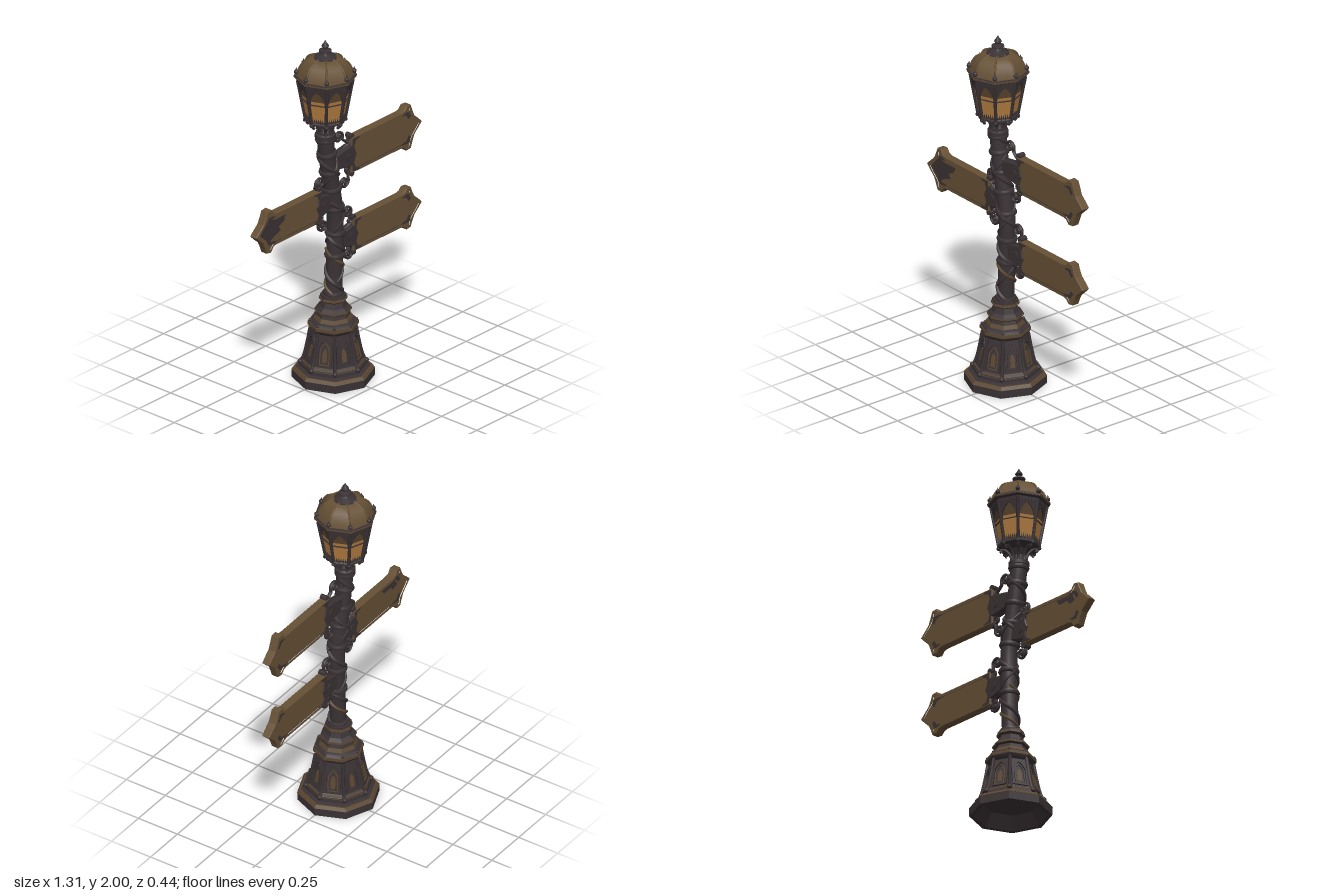
import * as THREE from 'three';
import { toCreasedNormals } from 'three/addons/utils/BufferGeometryUtils.js';

const material = (name, color, side = THREE.FrontSide) => {
  const m = new THREE.MeshStandardMaterial({ color, side });
  m.name = name;
  return m;
};
const iron = material('dark iron', 0x3a3234);
const brass = material('aged brass', 0x665035);
const trim = material('worn brass trim', 0x5a4630);
const glow = material('amber glass', 0xb27c40);
const smoke = material('smoked glass', 0x59432c);

const V = (x, y, z = 0) => new THREE.Vector3(x, y, z);

function add(parent, name, geometry, mat, x = 0, y = 0, z = 0) {
  const mesh = new THREE.Mesh(geometry, mat);
  mesh.name = name;
  mesh.position.set(x, y, z);
  parent.add(mesh);
  return mesh;
}
const lathe = (profile, sides = 8) => toCreasedNormals(
  new THREE.LatheGeometry(profile.map(([r, y]) => new THREE.Vector2(r, y)), sides), sides > 8 ? 0.7 : 0.4);
const tube = (points, radius, segments = 40, sides = 6) =>
  new THREE.TubeGeometry(new THREE.CatmullRomCurve3(points), segments, radius, sides);
const extrude = (shape, depth, bevel = 0) => {
  const g = new THREE.ExtrudeGeometry(shape, { depth: depth - 2 * bevel, bevelEnabled: bevel > 0,
    bevelThickness: bevel, bevelSize: bevel, bevelOffset: -bevel, bevelSegments: 1, curveSegments: 5 });
  return g.translate(0, 0, bevel - depth / 2);
};

// Repeats a part on the eight sides; offset 0 is a corner, 0.5 a face
function around(parent, name, offset, build) {
  for (let k = 0; k < 8; k++) {
    const side = new THREE.Group();
    side.name = name;
    side.rotation.y = (k + offset) * Math.PI / 4;
    parent.add(side);
    build(side, k);
  }
}

// Pointed arch outline standing on y = 0
function archPath(w, h, y = 0, Type = THREE.Shape) {
  const p = new Type();
  p.moveTo(-w, y);
  p.lineTo(w, y);
  p.lineTo(w, h * 0.6);
  p.quadraticCurveTo(w * 0.9, h * 0.85, 0, h);
  p.quadraticCurveTo(-w * 0.9, h * 0.85, -w, h * 0.6);
  p.closePath();
  return p;
}
function archFrame(w, h, t) {
  const shape = archPath(w, h);
  shape.holes.push(archPath(w - t, h - t, t, THREE.Path));
  return shape;
}

function buildBase() {
  const base = new THREE.Group();
  base.name = 'base';
  base.position.x = -0.022;
  add(base, 'pedestal', lathe([[0.001, 0.09], [0.15, 0.07], [0.195, 0], [0.22, 0], [0.22, 0.045], [0.208, 0.06],
    [0.178, 0.068], [0.174, 0.095], [0.158, 0.11], [0.117, 0.285], [0.13, 0.3], [0.135, 0.312], [0.135, 0.322],
    [0.118, 0.338], [0.1, 0.345], [0.086, 0.385], [0.096, 0.395], [0.096, 0.405], [0.075, 0.42], [0.064, 0.45],
    [0.074, 0.46], [0.07, 0.485], [0.001, 0.49]]), iron);
  // Worn bands on the mouldings
  for (const [r0, y0, r1, y1] of [[0.222, 0.045, 0.209, 0.062], [0.176, 0.088, 0.168, 0.104],
    [0.137, 0.309, 0.136, 0.326], [0.105, 0.345, 0.094, 0.366], [0.099, 0.394, 0.098, 0.405],
    [0.077, 0.46, 0.074, 0.474]])
    add(base, 'brassBand', lathe([[r0 - 0.012, y0], [r0, y0], [r1, y1], [r1 - 0.012, y1]]), trim);
  // Arched niches and corner ribs
  around(base, 'niche', 0.5, (side, k) => {
    const frame = add(side, 'nicheArch', extrude(archFrame(0.043, 0.158, 0.009), 0.016), iron, 0, 0.115, 0.145);
    const inner = add(side, 'nicheInnerArch', extrude(archFrame(0.028, 0.125, 0.005), 0.012), k % 2 ? iron : trim, 0, 0.125, 0.143);
    const worn = add(side, 'nicheWear', extrude(archPath(0.013, 0.075), 0.008), trim, 0, 0.14, 0.138);
    for (const m of [frame, inner, worn]) m.rotation.x = -0.21;
  });
  around(base, 'cornerRib', 0, (side) => {
    add(side, 'rib', tube([V(0, 0.08, 0.175), V(0, 0.13, 0.155), V(0, 0.2, 0.139), V(0, 0.295, 0.122)], 0.009, 10), iron);
    add(side, 'ribFoot', new THREE.SphereGeometry(0.014, 8, 6), iron, 0, 0.09, 0.175);
    add(side, 'collarBud', new THREE.SphereGeometry(0.009, 8, 6), iron, 0, 0.333, 0.123);
  });
  return base;
}

// Leaning centre line of the post
const spine = new THREE.CatmullRomCurve3([V(-0.02, 0.47), V(-0.014, 0.6), V(-0.008, 0.8), V(-0.008, 0.95),
  V(-0.035, 1.12), V(-0.06, 1.25), V(-0.082, 1.4), V(-0.085, 1.47)]);

function helix(turns, phase, t0, t1, r, thickness) {
  const points = [];
  for (let i = 0; i <= 60; i++) {
    const t = t0 + (t1 - t0) * i / 60, a = phase + turns * Math.PI * 2 * i / 60;
    points.push(spine.getPointAt(t).add(V(Math.cos(a) * r, 0, Math.sin(a) * r)));
  }
  return tube(points, thickness, 140);
}

function buildPost() {
  const post = new THREE.Group();
  post.name = 'post';
  add(post, 'shaft', new THREE.TubeGeometry(spine, 40, 0.045, 16), iron);
  add(post, 'windingVine', helix(4, 0.5, 0.02, 0.95, 0.045, 0.012), iron);
  add(post, 'thinVine', helix(-2.5, 2, 0.1, 0.9, 0.046, 0.007), iron);
  add(post, 'brassVine', helix(1.2, 2.6, 0.03, 0.28, 0.046, 0.009), trim);
  // Collars that hold the signs
  for (const t of [0.02, 0.24, 0.37, 0.52, 0.64, 0.75, 0.86, 0.95]) {
    const p = spine.getPointAt(t);
    const collar = add(post, 'collar', lathe([[0.04, -0.016], [0.053, -0.012], [0.057, 0], [0.053, 0.012], [0.04, 0.016]], 16), iron, p.x, p.y, 0);
    collar.quaternion.setFromUnitVectors(V(0, 1), spine.getTangentAt(t));
  }
  return post;
}

function buildLantern() {
  const lantern = new THREE.Group();
  lantern.name = 'lantern';
  lantern.position.x = -0.085;
  add(lantern, 'neck', lathe([[0.045, 1.42], [0.056, 1.43], [0.056, 1.45], [0.04, 1.46], [0.03, 1.49], [0.045, 1.525], [0.08, 1.54]], 16), iron);
  add(lantern, 'floor', lathe([[0.001, 1.53], [0.1, 1.53], [0.116, 1.537], [0.116, 1.548], [0.104, 1.558], [0.001, 1.558]]), iron);
  add(lantern, 'lowerGlass', lathe([[0.103, 1.555], [0.126, 1.685]]), glow);
  add(lantern, 'upperGlass', lathe([[0.126, 1.685], [0.142, 1.775]]), smoke);
  add(lantern, 'eave', lathe([[0.13, 1.757], [0.15, 1.757], [0.153, 1.778], [0.166, 1.785], [0.166, 1.8], [0.14, 1.803]]), iron);
  add(lantern, 'eaveBand', lathe([[0.16, 1.789], [0.168, 1.789], [0.168, 1.797], [0.145, 1.805]]), trim);
  // Domed roof and finial
  add(lantern, 'roof', lathe([[0.152, 1.8], [0.147, 1.817], [0.135, 1.845], [0.115, 1.872], [0.088, 1.892], [0.05, 1.903]]), brass);
  add(lantern, 'roofCap', lathe([[0.062, 1.896], [0.06, 1.905], [0.035, 1.915], [0.02, 1.921], [0.016, 1.928], [0.034, 1.936],
    [0.034, 1.942], [0.013, 1.95], [0.012, 1.956], [0.021, 1.966], [0.016, 1.975], [0.006, 1.989], [0.001, 2]], 16), iron);
  around(lantern, 'lanternCorner', 0, (side) => {
    add(side, 'cornerPost', tube([V(0, 1.545, 0.107), V(0, 1.65, 0.126), V(0, 1.77, 0.148)], 0.009, 6), iron);
    add(side, 'roofRib', tube([V(0, 1.805, 0.151), V(0, 1.845, 0.136), V(0, 1.873, 0.115), V(0, 1.903, 0.055)], 0.005, 12), brass);
    add(side, 'eaveKnob', new THREE.SphereGeometry(0.013, 10, 8), iron, 0, 1.817, 0.153);
    add(side, 'eaveSpike', new THREE.ConeGeometry(0.007, 0.022, 6), iron, 0, 1.834, 0.153);
    add(side, 'footDrop', new THREE.SphereGeometry(0.011, 8, 6), iron, 0, 1.534, 0.108);
    add(side, 'supportScroll', tube([V(0, 1.45, 0.045), V(0, 1.475, 0.04), V(0, 1.505, 0.052), V(0, 1.53, 0.083),
      V(0, 1.522, 0.098), V(0, 1.51, 0.088)], 0.008, 20), iron);
  });
  // Arched window tracery with a spiked sill
  around(lantern, 'lanternWindow', 0.5, (side) => {
    const pane = new THREE.Group();
    pane.name = 'windowTracery';
    pane.position.set(0, 1.555, 0.097);
    pane.rotation.x = 0.165;
    side.add(pane);
    const spandrel = new THREE.Shape([[-0.045, 0.11], [0.045, 0.11], [0.055, 0.215], [-0.055, 0.215]].map(p => new THREE.Vector2(...p)));
    const hole = new THREE.Path();
    hole.moveTo(-0.041, 0.113);
    hole.lineTo(0.041, 0.113);
    hole.quadraticCurveTo(0.042, 0.165, 0, 0.198);
    hole.quadraticCurveTo(-0.042, 0.165, -0.041, 0.113);
    spandrel.holes.push(hole);
    add(pane, 'spandrel', extrude(spandrel, 0.012), iron);
    for (let i = -3; i <= 3; i++)
      add(pane, 'sillSpike', new THREE.ConeGeometry(0.006, 0.026 + 0.01 * (Math.abs(i) % 2), 4), iron, i * 0.0115, 0.014, 0.004);
  });
  return lantern;
}

function spiral(cx, cy, r, turns, start, dir) {
  const points = [];
  for (let i = 0; i <= 24; i++) {
    const t = i / 24, a = start + dir * turns * Math.PI * 2 * t;
    points.push(V(cx + Math.cos(a) * r * (1 - 0.8 * t), cy + Math.sin(a) * r * (1 - 0.8 * t)));
  }
  return points;
}

// Arrow outline pointing to +x, inset on all edges
function arrow(x0, hb, hf, inset = 0) {
  const b = hb - inset, f = hf - inset, x = x0 + inset;
  const top = [[x, b], [0.49, b], [0.515, b + 0.006], [0.535 + inset * 0.4, f], [0.568 - inset * 0.4, f - 0.004],
    [0.58 - inset, f - 0.035], [0.597 - inset, 0.055], [0.622 - inset, 0.033]];
  const bottom = top.map(([px, py]) => [px, -py]).reverse();
  return [...top, [0.656 - inset * 1.4, 0], ...bottom].map(p => new THREE.Vector2(...p));
}

function buildSign({ dir, y, x0, hb, hf, poleX, curls, worn }) {
  const sign = new THREE.Group();
  sign.name = dir > 0 ? 'leftSign' : 'rightSign';
  sign.position.y = y;
  // Left and right boards are half turns of each other
  if (dir < 0) sign.rotation.y = Math.PI;
  const frame = new THREE.Shape(arrow(x0, hb, hf));
  frame.holes.push(new THREE.Path(arrow(x0, hb, hf, 0.016)));
  add(sign, 'signFrame', extrude(frame, 0.046, 0.004), brass);
  add(sign, 'signGroove', extrude(new THREE.Shape(arrow(x0, hb, hf, 0.014)), 0.032), iron);
  add(sign, 'signPanel', extrude(new THREE.Shape(arrow(x0, hb, hf, 0.019)), 0.036), brass);
  for (const s of [-1, 1]) {
    // Corner filigree
    const leaf = new THREE.Shape([[0, 0], [0.06, 0], [0.045, 0.012], [0.026, 0.014], [0.02, 0.034], [0.01, 0.045], [0, 0.065]]
      .map(([a, b]) => new THREE.Vector2(x0 + 0.005 + a, s * (b - hb + 0.008))));
    add(sign, 'cornerLeaf', extrude(leaf, 0.048), iron);
    const tipLeaf = new THREE.Shape([[0.47, 0.018], [0.55, 0.018], [0.57, 0.05], [0.553, 0.062], [0.535, 0.034], [0.505, 0.03]]
      .map(([a, b]) => new THREE.Vector2(a, s * (hb - b + 0.006))));
    add(sign, 'tipLeaf', extrude(tipLeaf, 0.039), iron);
    const knob = add(sign, 'edgeKnob', new THREE.CylinderGeometry(0.015, 0.015, 0.04, 12), iron, x0 + 0.008, s * (hb + 0.006), 0);
    knob.rotation.x = Math.PI / 2;
    // Bracket arms from post to board
    add(sign, 'bracketArm', tube([V(poleX, s * 0.025), V(poleX + 0.05, s * 0.035), V(x0 - 0.012, s * 0.06), V(x0 + 0.012, s * hb * 0.9)], 0.013, 16), iron);
  }
  const plate = new THREE.Shape([[poleX + 0.02, 0.04], [x0 - 0.015, 0.06], [x0 + 0.02, 0.06], [x0 + 0.028, 0.025], [x0 + 0.04, 0],
    [x0 + 0.028, -0.025], [x0 + 0.02, -0.06], [x0 - 0.015, -0.06], [poleX + 0.02, -0.04]].map(p => new THREE.Vector2(...p)));
  add(sign, 'mountPlate', extrude(plate, 0.05, 0.005), iron);
  const boss = add(sign, 'mountBoss', new THREE.CylinderGeometry(0.024, 0.024, 0.062, 14), iron, x0 - 0.02, 0, 0);
  boss.rotation.x = Math.PI / 2;
  // Curled ironwork above and below
  curls.forEach(([cx, cy]) => {
    const s = Math.sign(cy), path = [V(x0 + 0.005, s * 0.06), ...spiral(cx, cy, 0.034, 1.5, -s * 0.5, s)];
    add(sign, 'curl', tube(path, 0.0075, 60).scale(1, 1, 1.5), iron);
    add(sign, 'curlEye', new THREE.SphereGeometry(0.011, 8, 6), iron, cx, cy, 0);
    add(sign, 'smallCurl', tube(spiral(x0 - 0.012, s * 0.085, 0.018, 1.3, 2, -s), 0.006, 30).scale(1, 1, 1.5), iron);
  });
  // Tarnished patch by the tip, smaller on the other face
  if (worn) {
    const patch = (pts, z) => add(sign, 'tarnishPatch',
      extrude(new THREE.Shape(pts.map(p => new THREE.Vector2(...p))), 0.004), iron, 0, 0, z);
    patch([[0.62, 0], [0.565, 0.06], [0.54, 0.068], [0.5, 0.055], [0.42, 0.057], [0.435, 0.025], [0.475, 0.005],
      [0.46, -0.02], [0.5, -0.035], [0.54, -0.055], [0.57, -0.045]], -0.0185);
    patch([[0.52, 0.068], [0.4, 0.068], [0.42, 0.04], [0.48, 0.045], [0.5, 0.02], [0.54, 0.03]], 0.0185);
  }
  return sign;
}

export function createModel() {
  const model = new THREE.Group();
  model.name = 'signpostLamp';
  model.add(buildBase(), buildPost(), buildLantern());
  const signs = [
    { dir: 1, y: 1.258, x0: 0.1, hb: 0.104, hf: 0.132, poleX: -0.05, curls: [[0.018, 0.13], [0.064, -0.148]] },
    { dir: -1, y: 1.046, x0: 0.135, hb: 0.093, hf: 0.126, poleX: 0.03, curls: [[0.13, 0.125], [0.108, -0.128]], worn: true },
    { dir: 1, y: 0.784, x0: 0.115, hb: 0.096, hf: 0.122, poleX: -0.005, curls: [[0.085, 0.14], [0.095, -0.105]] },
  ];
  signs.forEach(s => model.add(buildSign(s)));
  return model;
}
